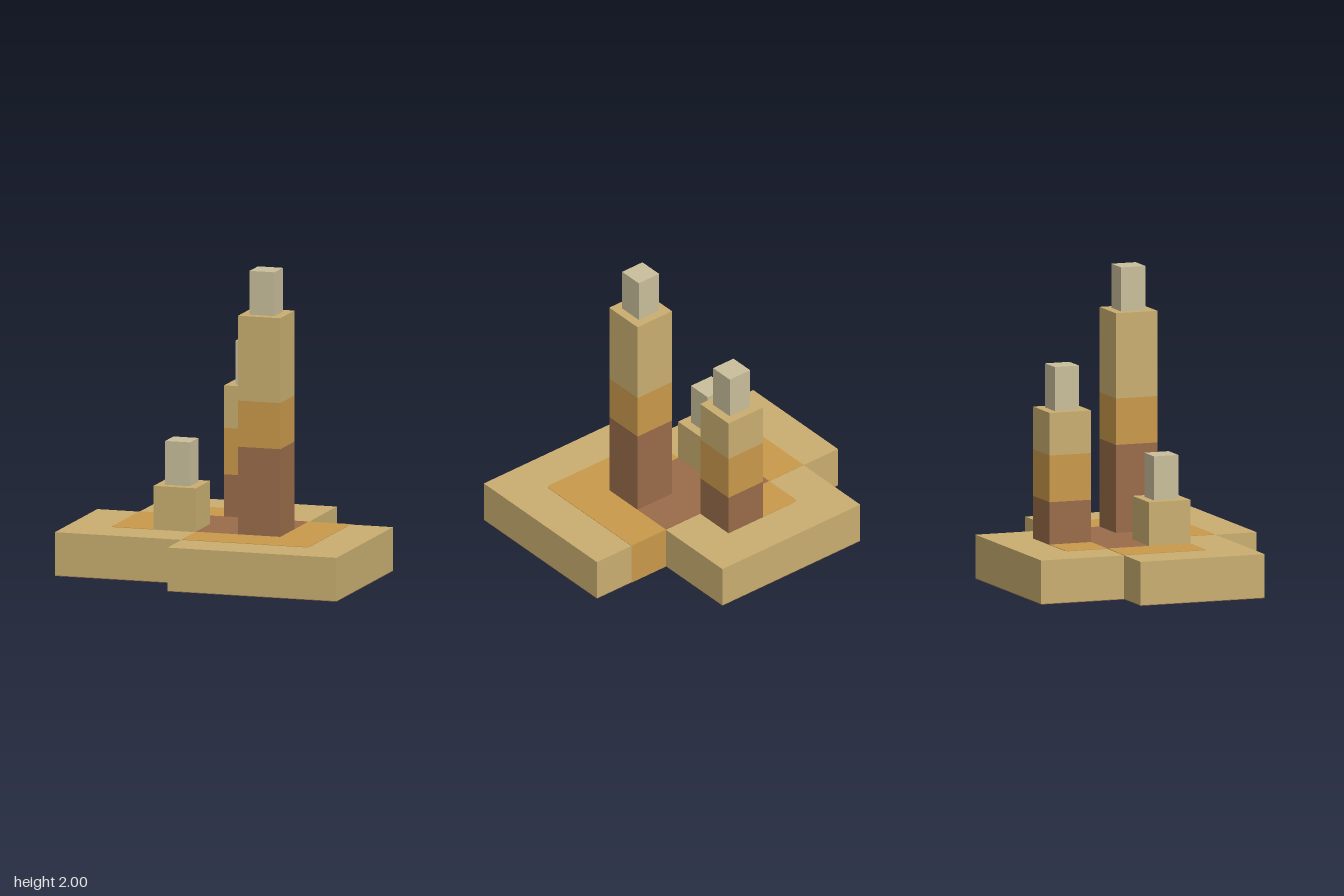
import * as THREE from 'three';

const U = 1 / 7; // layout module

export function createModel() {
  const mat = (name, color) => {
    const m = new THREE.MeshStandardMaterial({ color });
    m.name = name;
    return m;
  };
  const sand = mat('sand', 0xc9ae70);
  const ochre = mat('ochre', 0xca994b);
  const brown = mat('brown', 0x9a6c4a);
  const stone = mat('paleStone', 0xc9be9b);

  const model = new THREE.Group();
  model.name = 'towerPlatform';

  const add = (parent, name, geometry, material) => {
    const mesh = new THREE.Mesh(geometry, material);
    mesh.name = name;
    parent.add(mesh);
    return mesh;
  };

  // Flat slab from a plan outline of [x, z, cornerRadius?] in modules
  const slab = (name, points, y0, y1, material) => {
    const shape = new THREE.Shape();
    const P = points.map(([x, z]) => new THREE.Vector2(x * U, -z * U));
    const n = P.length;
    P.forEach((p, i) => {
      const r = points[i][2] || 0;
      const toward = (q) => p.clone().add(q.clone().sub(p).setLength(r));
      const a = r ? toward(P[(i + n - 1) % n]) : p;
      if (i === 0) shape.moveTo(a.x, a.y);
      else shape.lineTo(a.x, a.y);
      if (r) {
        const b = toward(P[(i + 1) % n]);
        shape.quadraticCurveTo(p.x, p.y, b.x, b.y);
      }
    });
    shape.closePath();
    const g = new THREE.ExtrudeGeometry(shape, { depth: y1 - y0, bevelEnabled: false, curveSegments: 5 });
    g.rotateX(-Math.PI / 2).translate(0, y0, 0);
    return add(model, name, g, material);
  };

  // Stepped base with a brown underside
  const outline = [[-7, -2], [-5, -2], [-5, -6], [3, -6], [3, -2], [7, -2], [7, 6], [-1, 6], [-1, 4], [-7, 4]];
  const top = 2 * U;
  slab('base', outline, 0.004, top, sand);
  slab('underside', outline, 0, 0.004, brown);

  // Painted ground patches
  const r = 0.03;
  const paint = (name, points, material) => slab(name, points, top, top + 0.003, material);
  paint('courtyard', [[-3, -2], [3, -2], [3, 0], [1, 0], [1, 2], [-1, 2], [-1, 0], [-3, 0]], brown);
  paint('backPatch', [[-3, -4, r], [-1, -4], [-1, -2], [-3, -2]], ochre);
  paint('rightPatch', [[-5, -2], [-3, -2], [-3, 2], [-5, 2, r]], ochre);
  paint('leftPatch', [[3, -2], [5, -2], [5, 4, r], [-1, 4, r / 2], [-1, 2], [3, 2]], ochre);

  // Painted stretch of the rear wall in the notch
  add(model, 'wallPatch', new THREE.BoxGeometry(2 * U, 2 * U, 0.004), ochre)
    .position.set(4 * U, U, -2 * U);

  // Towers: stacked colour bands and a narrow cap
  const tower = (name, x, z, bands, capTop) => {
    const group = new THREE.Group();
    group.name = name;
    group.position.set(x * U, 0, z * U);
    model.add(group);
    let y = top;
    const block = (part, width, yTop, material) => {
      const h = yTop - y;
      add(group, part, new THREE.BoxGeometry(width, h, width), material).position.y = y + h / 2;
      y = yTop;
    };
    bands.forEach(([yTop, material]) => block(material.name + 'Band', 2 * U, yTop, material));
    block('cap', 1.18 * U, capTop, stone);
  };
  tower('shortTower', -2, 1, [[4 * U, sand]], 6 * U);
  tower('middleTower', 0, -3, [[0.563, brown], [0.866, ochre], [8 * U, sand]], 10 * U);
  tower('tallTower', 2, 1, [[0.86, brown], [1.161, ochre], [12 * U, sand]], 2);

  return model;
}
